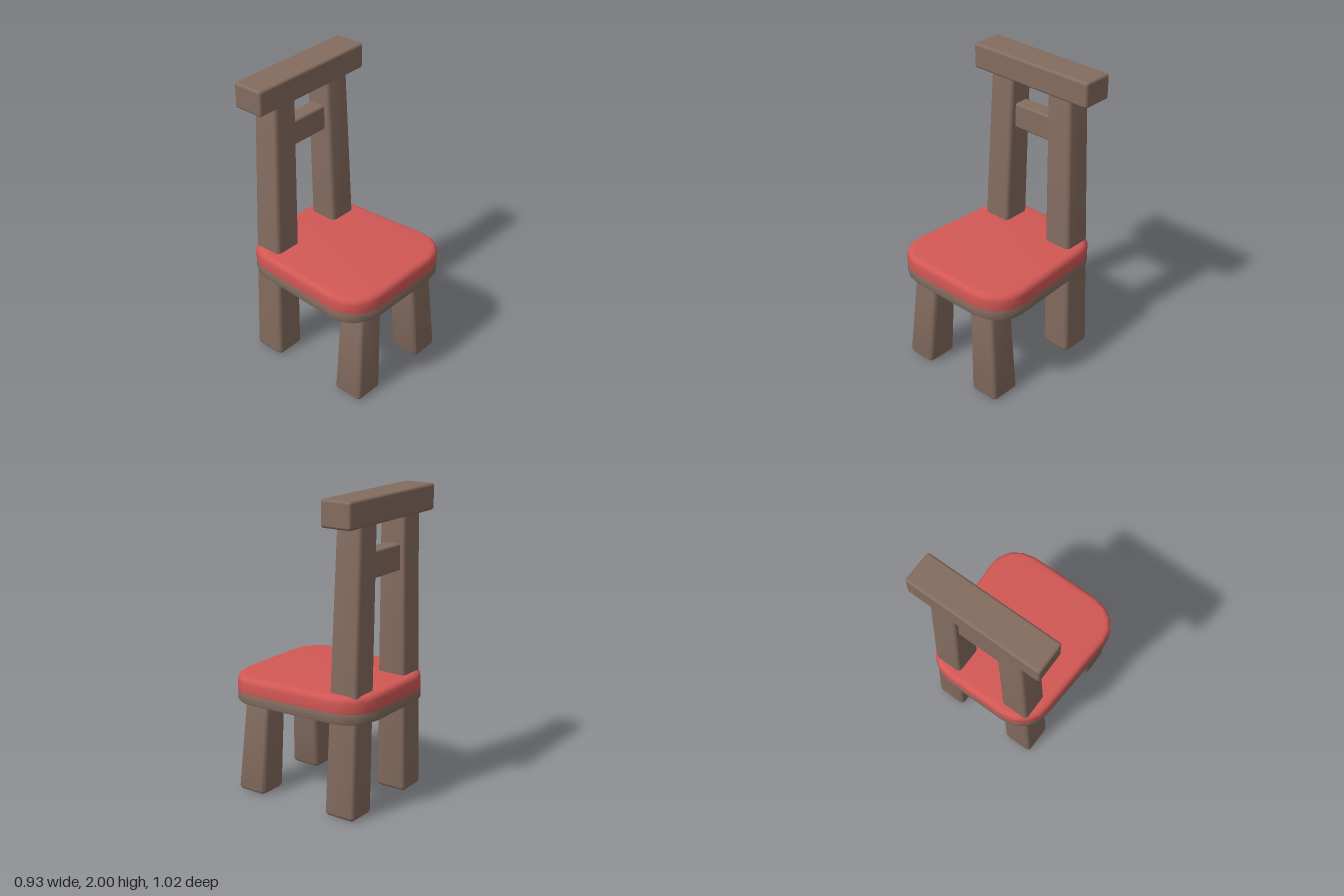
import * as THREE from 'three';
import { toCreasedNormals } from 'three/addons/utils/BufferGeometryUtils.js';
import { RoundedBoxGeometry } from 'three/addons/geometries/RoundedBoxGeometry.js';

const wood = new THREE.MeshStandardMaterial({ name: 'brown wood', color: 0x846c5f });
const red = new THREE.MeshStandardMaterial({ name: 'red cushion', color: 0xd25855 });

function add(parent, name, geometry, material) {
  const mesh = new THREE.Mesh(geometry, material);
  mesh.name = name;
  parent.add(mesh);
  return mesh;
}

// Rounded box between two corners
function block(x0, x1, y0, y1, z0, z1, radius) {
  const g = new RoundedBoxGeometry(x1 - x0, y1 - y0, z1 - z0, 3, radius);
  g.translate((x0 + x1) / 2, (y0 + y1) / 2, (z0 + z1) / 2);
  return g;
}

// Rounded post that runs from a floor rectangle to a top rectangle [x0, x1, z0, z1]
function taperedPost(height, floor, top, side) {
  const [a, b, c, d] = floor;
  const g = block(a, b, 0, height, c, d, 0.03);
  const p = g.attributes.position;
  const lerp = THREE.MathUtils.lerp;
  for (let i = 0; i < p.count; i++) {
    const t = p.getY(i) / height;
    const u = (p.getX(i) - a) / (b - a);
    const w = (p.getZ(i) - c) / (d - c);
    const x = lerp(lerp(a, top[0], t), lerp(b, top[1], t), u);
    const z = lerp(lerp(c, top[2], t), lerp(d, top[3], t), w);
    p.setXYZ(i, x, p.getY(i), z);
  }
  if (side < 0) {
    // Mirror, and swap corners so the faces still point outwards
    g.scale(-1, 1, 1);
    for (let i = 0; i < p.count; i += 3) {
      const v = [p.getX(i), p.getY(i), p.getZ(i)];
      p.setXYZ(i, p.getX(i + 2), p.getY(i + 2), p.getZ(i + 2));
      p.setXYZ(i + 2, ...v);
    }
  }
  return toCreasedNormals(g, 0.7);
}

// Seat outline: one half as [x, z], front to back
const half = [
  [0.25, 0.507], [0.34, 0.487], [0.41, 0.44], [0.455, 0.368], [0.466, 0.28],
  [0.433, -0.29], [0.418, -0.37], [0.37, -0.445], [0.3, -0.492], [0.21, -0.508],
];

function seatSlab(y0, y1, size, thickness, segments) {
  const right = half.map(([x, z]) => new THREE.Vector2(x, -z));
  const left = half.map(([x, z]) => new THREE.Vector2(-x, -z)).reverse();
  const g = new THREE.ExtrudeGeometry(new THREE.Shape([...right, ...left]), {
    depth: y1 - y0 - 2 * thickness,
    bevelSize: size, bevelThickness: thickness, bevelOffset: -size, bevelSegments: segments,
  });
  g.rotateX(-Math.PI / 2);
  g.translate(0, y0 + thickness, 0);
  return toCreasedNormals(g, 0.7);
}

export function createModel() {
  const chair = new THREE.Group();
  chair.name = 'chair';

  // Seat: wooden board with a cushion sunk slightly into it
  add(chair, 'seatBoard', seatSlab(0.632, 0.712, 0.012, 0.012, 2), wood);
  add(chair, 'seatCushion', seatSlab(0.67, 0.808, 0.035, 0.04, 4), red);

  // Legs: short ones in front, long ones behind that carry the backrest
  for (const [label, side] of [['left', 1], ['right', -1]]) {
    add(chair, label + 'FrontLeg',
      taperedPost(0.67, [0.188, 0.397, 0.255, 0.47], [0.15, 0.335, 0.255, 0.438], side), wood);
    add(chair, label + 'BackPost',
      taperedPost(1.86, [0.188, 0.397, -0.45, -0.23], [0.143, 0.325, -0.445, -0.267], side), wood);
  }

  // Backrest: wide top rail and a thin slat between the posts
  add(chair, 'topRail', block(-0.462, 0.462, 1.832, 2, -0.466, -0.252, 0.018), wood);
  add(chair, 'backSlat', block(-0.2, 0.2, 1.49, 1.66, -0.415, -0.305, 0.015), wood);

  return chair;
}
